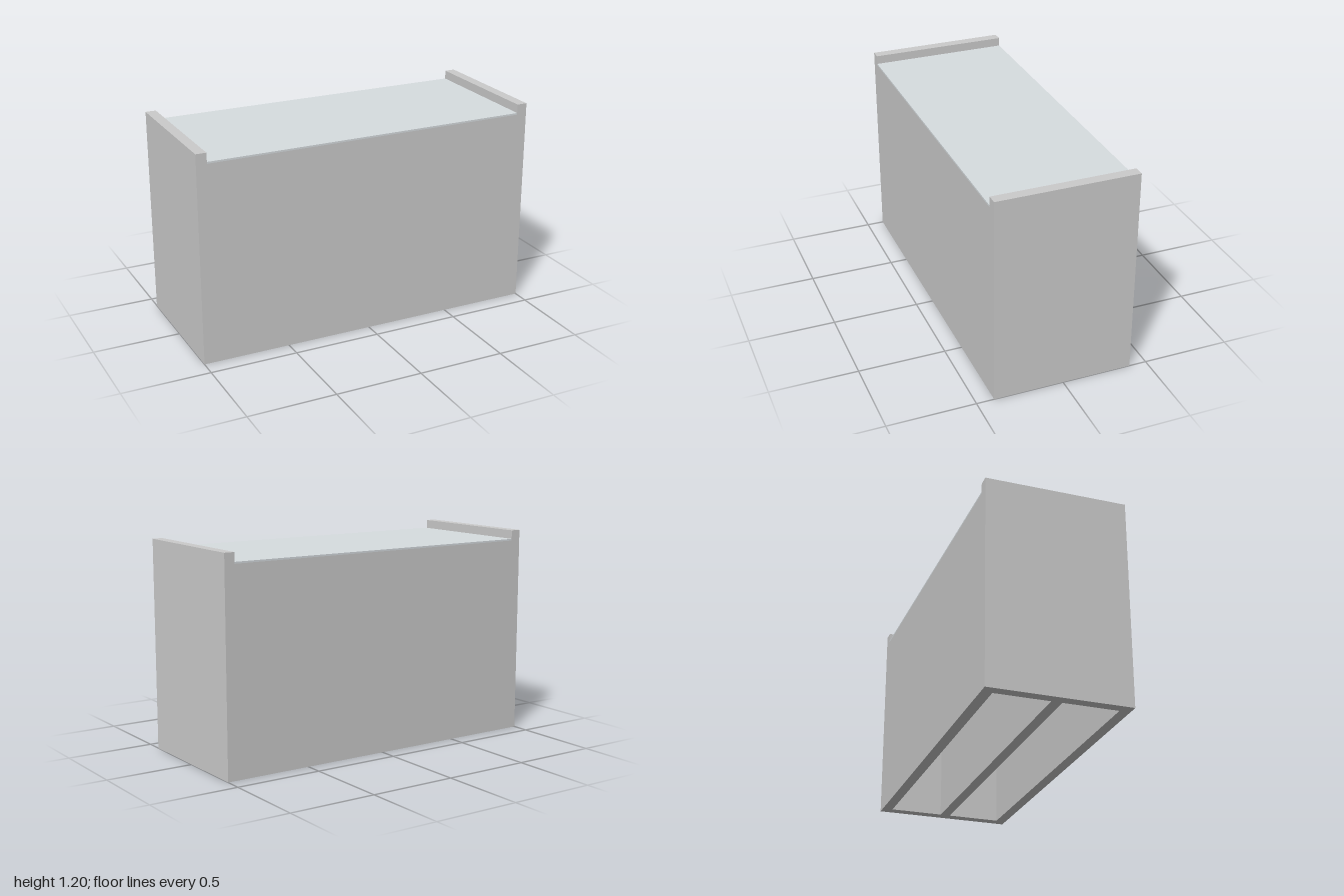
import * as THREE from 'three';

const W = 2, D = 0.8, H = 1.2;   // overall size
const T = 0.06;                  // board thickness
const TOP = 1.15, LID = 0.01;    // lid height and thickness

export function createModel() {
  const model = new THREE.Group();
  model.name = 'openBottomBox';

  const board = new THREE.MeshStandardMaterial({ color: 0xcccccc });
  const pane = new THREE.MeshStandardMaterial({ color: 0xd7dde0 });

  // Box standing on the given base height
  const addBox = (name, [w, h, d], [x, base, z], material = board) => {
    const mesh = new THREE.Mesh(new THREE.BoxGeometry(w, h, d), material);
    mesh.name = name;
    mesh.position.set(x, base + h / 2, z);
    model.add(mesh);
  };

  // End boards, rising above the lid
  for (const [name, side] of [['leftEnd', 1], ['rightEnd', -1]]) {
    addBox(name, [T, H, D], [side * (W - T) / 2, 0, 0]);
  }

  // Long boards between the ends: front, middle divider, back
  const inner = W - 2 * T;
  for (const [name, side] of [['frontPanel', 1], ['divider', 0], ['backPanel', -1]]) {
    addBox(name, [inner, TOP - LID, T], [0, 0, side * (D - T) / 2]);
  }

  // Thin lid resting on the long boards
  addBox('lid', [inner, LID, D], [0, TOP - LID, 0], pane);

  return model;
}
